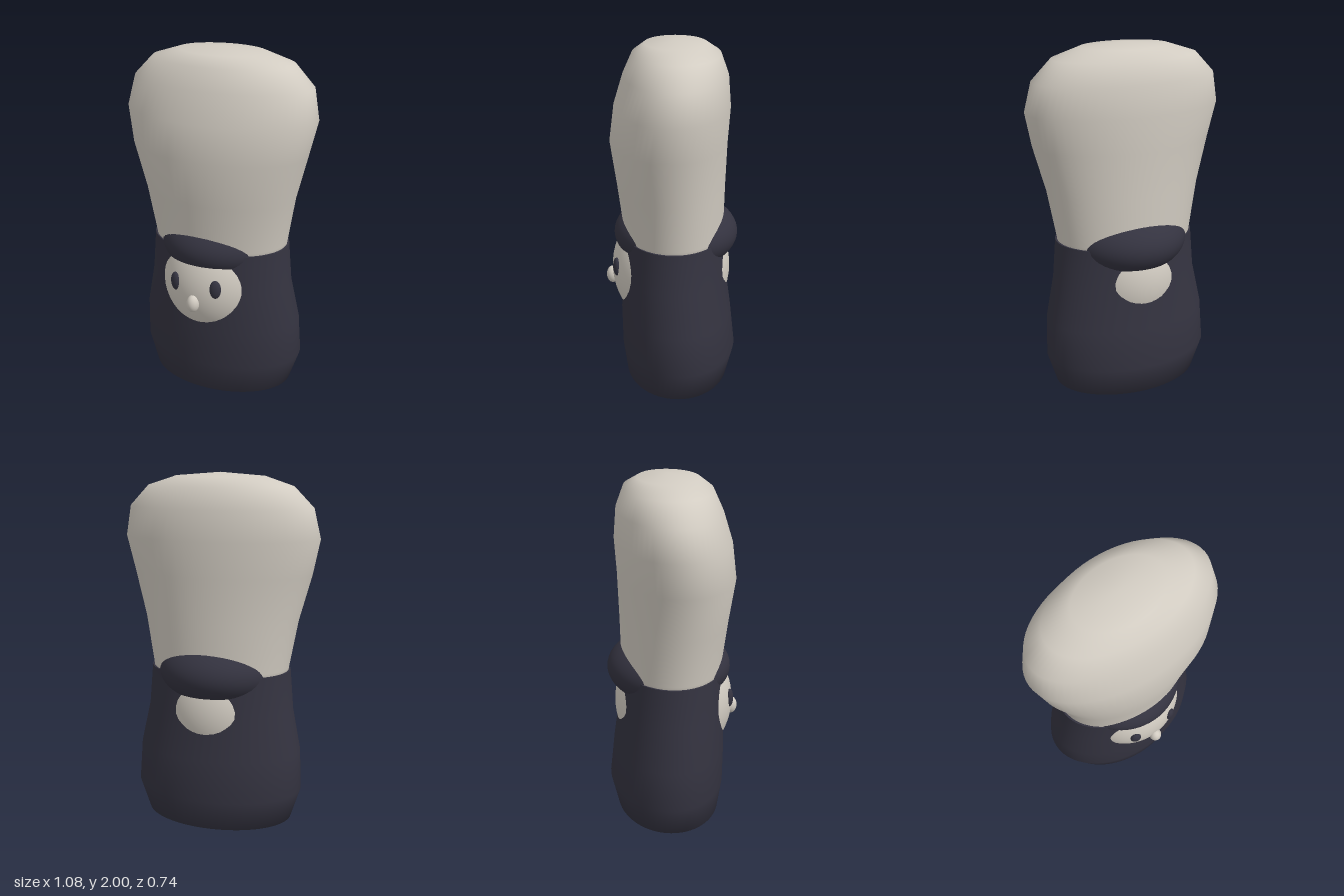
import * as THREE from 'three';

const cream = new THREE.MeshStandardMaterial({ color: 0xd2ccc2 });
cream.name = 'cream';
const navy = new THREE.MeshStandardMaterial({ color: 0x343340 });
navy.name = 'dark navy';

// Smooth loft through oval rings given as [y, halfWidth, frontZ, backZ]
function loft(rings, sides = 64) {
  const pos = [], idx = [];
  for (const [y, w, front, back] of rings) {
    const mid = (front + back) / 2, depth = (front - back) / 2;
    for (let i = 0; i < sides; i++) {
      const a = (i / sides) * Math.PI * 2;
      pos.push(w * Math.sin(a), y, mid + depth * Math.cos(a));
    }
  }
  for (let r = 0; r < rings.length - 1; r++) {
    for (let i = 0; i < sides; i++) {
      const a = r * sides + i, b = r * sides + (i + 1) % sides;
      idx.push(a, b, b + sides, a, b + sides, a + sides);
    }
  }
  // end caps close on a single centre point
  const cap = (ring, flip) => {
    const [y, , front, back] = rings[ring];
    const c = pos.length / 3;
    pos.push(0, y + (flip ? -1 : 1) * (rings[ring][4] || 0), (front + back) / 2);
    for (let i = 0; i < sides; i++) {
      const a = ring * sides + i, b = ring * sides + (i + 1) % sides;
      if (flip) idx.push(c, b, a);
      else idx.push(c, a, b);
    }
  };
  cap(0, true);
  cap(rings.length - 1, false);
  const geo = new THREE.BufferGeometry();
  geo.setAttribute('position', new THREE.Float32BufferAttribute(pos, 3));
  geo.setIndex(idx);
  geo.computeVertexNormals();
  return geo;
}

export function createModel() {
  const model = new THREE.Group();
  model.name = 'figure';

  const add = (name, geo, mat) => {
    const mesh = new THREE.Mesh(geo, mat);
    mesh.name = name;
    model.add(mesh);
    return mesh;
  };
  const ellipsoid = (name, mat, center, radii, detail = 48) => {
    const mesh = add(name, new THREE.SphereGeometry(1, detail, detail / 2), mat);
    mesh.position.set(...center);
    mesh.scale.set(...radii);
    return mesh;
  };

  // Dark lower body; the rim ring is doubled to keep its edge sharp
  add('lowerBody', loft([
    [0.03, 0.26, 0.16, -0.17, 0.025],
    [0.10, 0.415, 0.26, -0.32],
    [0.27, 0.47, 0.283, -0.36],
    [0.49, 0.46, 0.287, -0.335],
    [0.72, 0.412, 0.279, -0.302],
    [0.945, 0.393, 0.271, -0.29],
    [0.945, 0.393, 0.271, -0.29],
  ]), navy);

  // Pale tall upper part, flaring towards the top
  add('upperBody', loft([
    [0.88, 0.375, 0.26, -0.28],
    [0.96, 0.384, 0.267, -0.285],
    [1.22, 0.43, 0.30, -0.29],
    [1.47, 0.497, 0.335, -0.298],
    [1.66, 0.54, 0.31, -0.31],
    [1.82, 0.507, 0.26, -0.297],
    [1.93, 0.40, 0.21, -0.257],
    [1.98, 0.245, 0.145, -0.185, 0.02],
  ]), cream);

  // Head passes through the body and shows at the front and back
  ellipsoid('head', cream, [0, 0.73, 0.005], [0.32, 0.37, 0.33], 64);
  ellipsoid('hair', navy, [0, 0.94, -0.022], [0.335, 0.2, 0.342], 64);

  // Face
  for (const side of [-1, 1]) {
    const eye = ellipsoid(side > 0 ? 'leftEye' : 'rightEye', navy,
      [side * 0.121, 0.768, 0.306], [0.031, 0.053, 0.02], 24);
    eye.rotation.y = side * 0.35;
  }
  ellipsoid('nose', cream, [0, 0.67, 0.335], [0.035, 0.05, 0.036], 24);

  return model;
}
